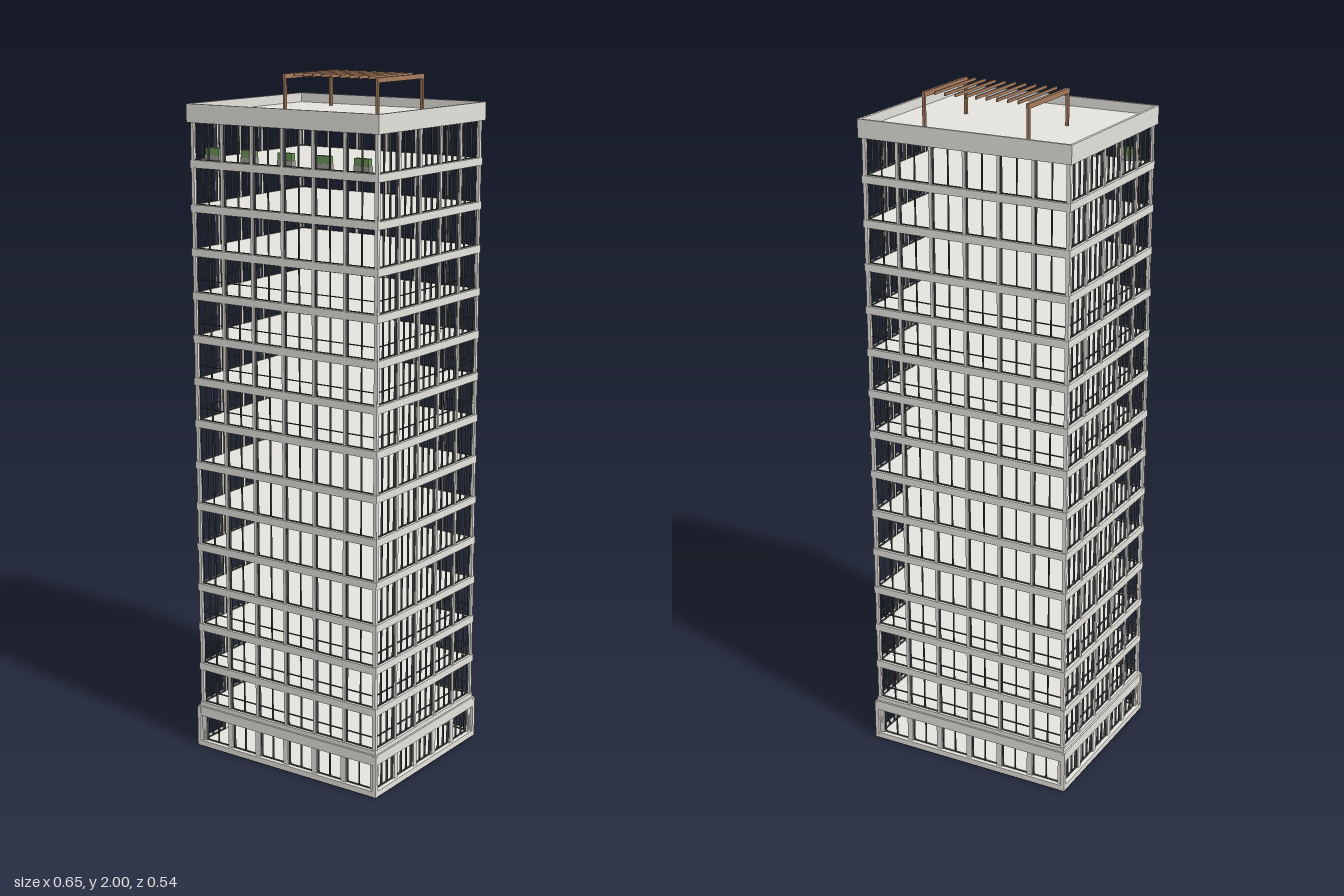
import * as THREE from 'three';
import { mergeGeometries } from 'three/addons/utils/BufferGeometryUtils.js';

const mat = (name, color) => {
  const m = new THREE.MeshStandardMaterial({ color });
  m.name = name;
  return m;
};

const HX = 0.318, HZ = 0.265;       // half size of the tower
const FIRST = 0.13, PITCH = 0.125, FLOORS = 14, SLAB = 0.022;
const ROOF = 1.895, TOP = 1.922;

function box(w, h, d, x, y, z) {
  return new THREE.BoxGeometry(w, h, d).translate(x, y, z);
}

// Hollow rectangular band made of four walls
function ring(hx, hz, y0, y1, t) {
  const h = y1 - y0, y = (y0 + y1) / 2, out = [];
  for (const s of [-1, 1]) {
    out.push(box(2 * hx, h, t, 0, y, s * (hz - t / 2)));
    out.push(box(t, h, 2 * (hz - t), s * (hx - t / 2), y, 0));
  }
  return out;
}

export function createModel() {
  const concrete = mat('pale concrete', 0xe6e4de);
  const underside = mat('dark foundation', 0x2a2a2a);
  const metal = mat('dark window metal', 0x434547);
  const wood = mat('brown timber', 0xa87d5e);
  const leaf = mat('leaf green', 0x6c9659);
  const pot = mat('planter grey', 0x9c9c94);

  const tower = new THREE.Group();
  tower.name = 'tower';
  const add = (name, parts, material) => {
    const m = new THREE.Mesh(mergeGeometries(parts), material);
    m.name = name;
    tower.add(m);
  };

  // The four facades: place(u, y, w, h, d, inset) makes a box on each side;
  // panes lists the mullion offsets as fractions of a bay
  const facades = [];
  for (const s of [-1, 1]) {
    facades.push({ half: HX, bays: 6, panes: [0], place: (u, y, w, h, d, inset) =>
      box(w, h, d, u, y, s * (HZ - inset)) });
    facades.push({ half: HZ, bays: 5, panes: [-1 / 6, 1 / 6], place: (u, y, w, h, d, inset) =>
      box(d, h, w, s * (HX - inset), y, u) });
  }

  const columns = [], frames = [], mullions = [], transoms = [], slabs = [];

  // One storey of columns and window frames between y0 and y1
  function storey(y0, y1, colW, withTransom) {
    const h = y1 - y0, y = (y0 + y1) / 2;
    for (const { half, bays, panes, place } of facades) {
      const edge = half - colW / 2 - 0.002;
      const step = 2 * edge / bays;
      for (let i = 0; i <= bays; i++) {
        columns.push(place(-edge + i * step, y, colW, h, 0.01, 0.008));
      }
      for (let i = 0; i < bays; i++) {
        const c = -edge + (i + 0.5) * step, w = step - colW;
        for (const s of [-1, 1]) {
          frames.push(place(c + s * (w / 2 - 0.001), y, 0.002, h, 0.008, 0.011));
          frames.push(place(c, y + s * (h / 2 - 0.001), w, 0.002, 0.006, 0.011));
        }
        for (const p of panes) mullions.push(place(c + p * w, y, 0.0022, h, 0.006, 0.011));
        if (withTransom) transoms.push(place(c, y0 + 0.035, w, 0.002, 0.005, 0.011));
      }
    }
  }

  // Ground storey: foundation, floor plate, wide piers and a deep band
  add('foundation', [box(2 * HX + 0.01, 0.002, 2 * HZ + 0.01, 0, 0.001, 0)], underside);
  add('groundFloor', [box(2 * HX + 0.01, 0.016, 2 * HZ + 0.01, 0, 0.01, 0)], concrete);
  add('baseBand', ring(0.323, 0.27, 0.098, 0.128, 0.018), concrete);
  storey(0.018, 0.119, 0.018, false);
  const corners = [];
  for (const sx of [-1, 1]) for (const sz of [-1, 1]) {
    corners.push(box(0.012, 0.122, 0.012, sx * 0.318, 0.063, sz * 0.265));
  }
  add('baseCorners', corners, concrete);

  // Repeating storeys
  for (let i = 0; i < FLOORS; i++) {
    const y = FIRST + i * PITCH;
    slabs.push(box(2 * HX, SLAB, 2 * HZ, 0, y, 0));
    const low = y + SLAB / 2;
    const high = i === FLOORS - 1 ? 1.872 : y + PITCH - SLAB / 2;
    storey(low, high, 0.009, i < 3 || (i >= 7 && i <= 10));
  }
  add('floorSlabs', slabs, concrete);
  add('columns', columns, concrete);
  add('windowFrames', frames, metal);
  add('mullions', mullions, metal);
  add('transoms', transoms, metal);

  // Roof and parapet
  add('roof', [box(2 * HX - 0.006, 0.024, 2 * HZ - 0.006, 0, ROOF - 0.012, 0)], concrete);
  add('parapet', ring(0.323, 0.271, 1.87, TOP, 0.008), concrete);

  // Planters with clipped hedges behind the front windows of the top storey
  const pots = [], hedges = [];
  const deck = FIRST + (FLOORS - 1) * PITCH + SLAB / 2;
  for (let i = -2; i <= 2; i++) {
    const x = i * 0.126;
    pots.push(box(0.05, 0.016, 0.018, x, deck + 0.008, 0.24));
    hedges.push(box(0.046, 0.02, 0.016, x, deck + 0.026, 0.24));
  }
  add('planters', pots, pot);
  add('hedges', hedges, leaf);

  // Rooftop pergola
  const posts = [], beams = [], slats = [];
  for (const s of [-1, 1]) {
    beams.push(box(0.009, 0.014, 0.236, s * 0.158, 1.991, -0.081));
    for (const z of [-0.194, 0.032]) {
      posts.push(box(0.008, 1.985 - ROOF, 0.008, s * 0.158, (1.985 + ROOF) / 2, z));
    }
  }
  for (let i = -4; i <= 4; i++) {
    slats.push(box(0.004, 0.008, 0.222, i * 0.0316, 1.996, -0.081));
  }
  add('pergolaPosts', posts, wood);
  add('pergolaBeams', beams, wood);
  add('pergolaSlats', slats, wood);

  return tower;
}
